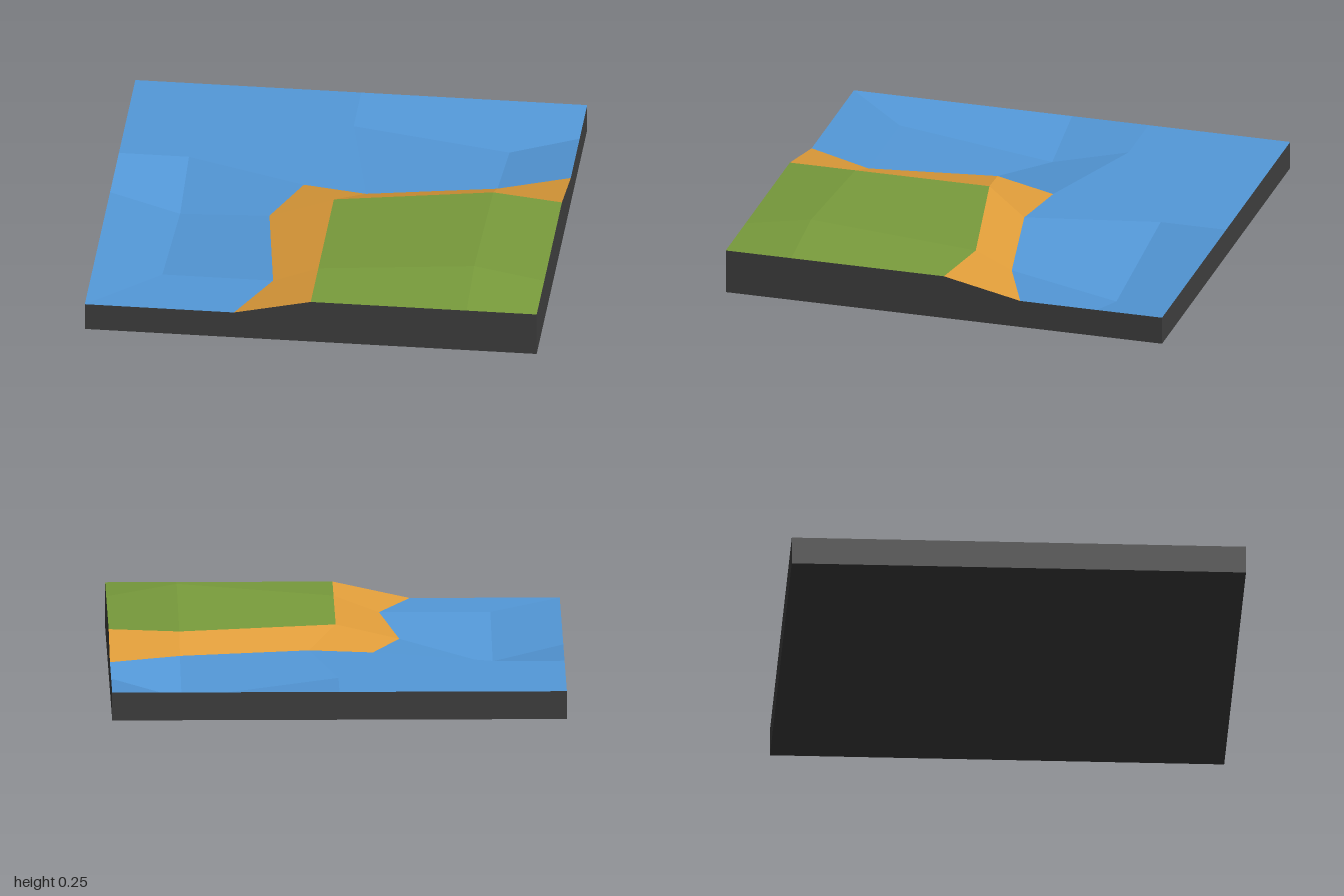
import * as THREE from 'three';

const LOW = 0.125, HIGH = 0.2, PEAK = 0.255, DIP = 0.035;

const material = (name, color) => new THREE.MeshStandardMaterial({ name, color });

// Faceted surface: every polygon is a fan of triangles sharing one flat normal.
// Corners are [x, y, z], counter-clockwise as seen from outside.
function facets(name, mat, polygons) {
  const pos = [], nor = [];
  for (const poly of polygons) {
    const p = poly.map((c) => new THREE.Vector3(...c));
    const n = new THREE.Vector3();
    for (let i = 1; i < p.length - 1; i++) {
      const a = p[i].clone().sub(p[0]), b = p[i + 1].clone().sub(p[0]);
      n.add(a.cross(b));
    }
    n.normalize();
    for (let i = 1; i < p.length - 1; i++) {
      for (const v of [p[0], p[i], p[i + 1]]) {
        pos.push(v.x, v.y, v.z);
        nor.push(n.x, n.y, n.z);
      }
    }
  }
  const geo = new THREE.BufferGeometry();
  geo.setAttribute('position', new THREE.Float32BufferAttribute(pos, 3));
  geo.setAttribute('normal', new THREE.Float32BufferAttribute(nor, 3));
  const mesh = new THREE.Mesh(geo, mat);
  mesh.name = name;
  return mesh;
}

export function createModel() {
  const group = new THREE.Group();
  group.name = 'coastTile';
  const water = material('water blue', 0x5499d9);
  const sand = material('sand orange', 0xe09d3a);
  const grass = material('grass green', 0x799c3c);
  const stone = material('base charcoal', 0x3f3f3f);

  const low = (x, z) => [x, LOW, z];
  const high = (x, z) => [x, HIGH, z];

  // Shoreline (foot of the beach) and grass edge (top of the beach)
  const shore = [[1, -0.35], [0.69, -0.22], [0.12, -0.11], [-0.16, -0.16],
    [-0.28, 0.13], [-0.2, 0.7], [-0.34, 1]].map(([x, z]) => low(x, z));
  const edge = [[1, 0], [0.69, -0.055], [0, 0.085], [0, 0.7], [0, 1]].map(([x, z]) => high(x, z));

  // Key points of the sea bed and hill
  const backDip = [0.69, DIP, -0.7], leftDip = [-0.69, DIP, 0];
  const hilltop = [0.69, PEAK, 0.7];
  const ridge = low(-0.69, -0.35), shelf = low(-0.69, 0.7);
  const backMid = low(0, -0.7), rightMid = low(1, -0.7), leftMid = low(-1, 0);

  group.add(facets('water', water, [
    [ridge, shore[3], shore[2], backMid, low(0, -1), low(-1, -1), low(-1, -0.35)],
    [backDip, rightMid, low(1, -1), low(0, -1), backMid],
    [backDip, backMid, shore[2], shore[1]],
    [backDip, shore[1], shore[0], rightMid],
    [ridge, low(-1, -0.35), leftMid, leftDip],
    [leftDip, shore[4], shore[3], ridge],
    [leftDip, shelf, shore[5], shore[4]],
    [leftMid, low(-1, 1), shelf, leftDip],
    [shelf, low(-1, 1), shore[6], shore[5]],
  ]));

  group.add(facets('beach', sand, [
    [edge[0], shore[0], shore[1], edge[1]],
    [edge[1], shore[1], shore[2], edge[2]],
    [edge[2], shore[2], shore[3], shore[4]],
    [edge[2], shore[4], shore[5], edge[3]],
    [edge[3], shore[5], shore[6], edge[4]],
  ]));

  group.add(facets('grass', grass, [
    [hilltop, edge[1], edge[2], edge[3]],
    [hilltop, high(1, 0.7), edge[0], edge[1]],
    [hilltop, high(0.69, 1), high(1, 1), high(1, 0.7)],
    [hilltop, edge[3], edge[4], high(0.69, 1)],
  ]));

  // Side walls follow the rim of the terrain, with a flat underside
  const rim = [low(-1, 1), shore[6], edge[4], high(1, 1), edge[0], shore[0], low(1, -1), low(-1, -1)];
  const floor = ([x, , z]) => [x, 0, z];
  const walls = rim.map((a, i) => {
    const b = rim[(i + 1) % rim.length];
    return [floor(a), floor(b), b, a];
  });
  group.add(facets('baseWalls', stone, walls));
  group.add(facets('baseUnderside', stone, [[[-1, 0, -1], [1, 0, -1], [1, 0, 1], [-1, 0, 1]]]));

  return group;
}
